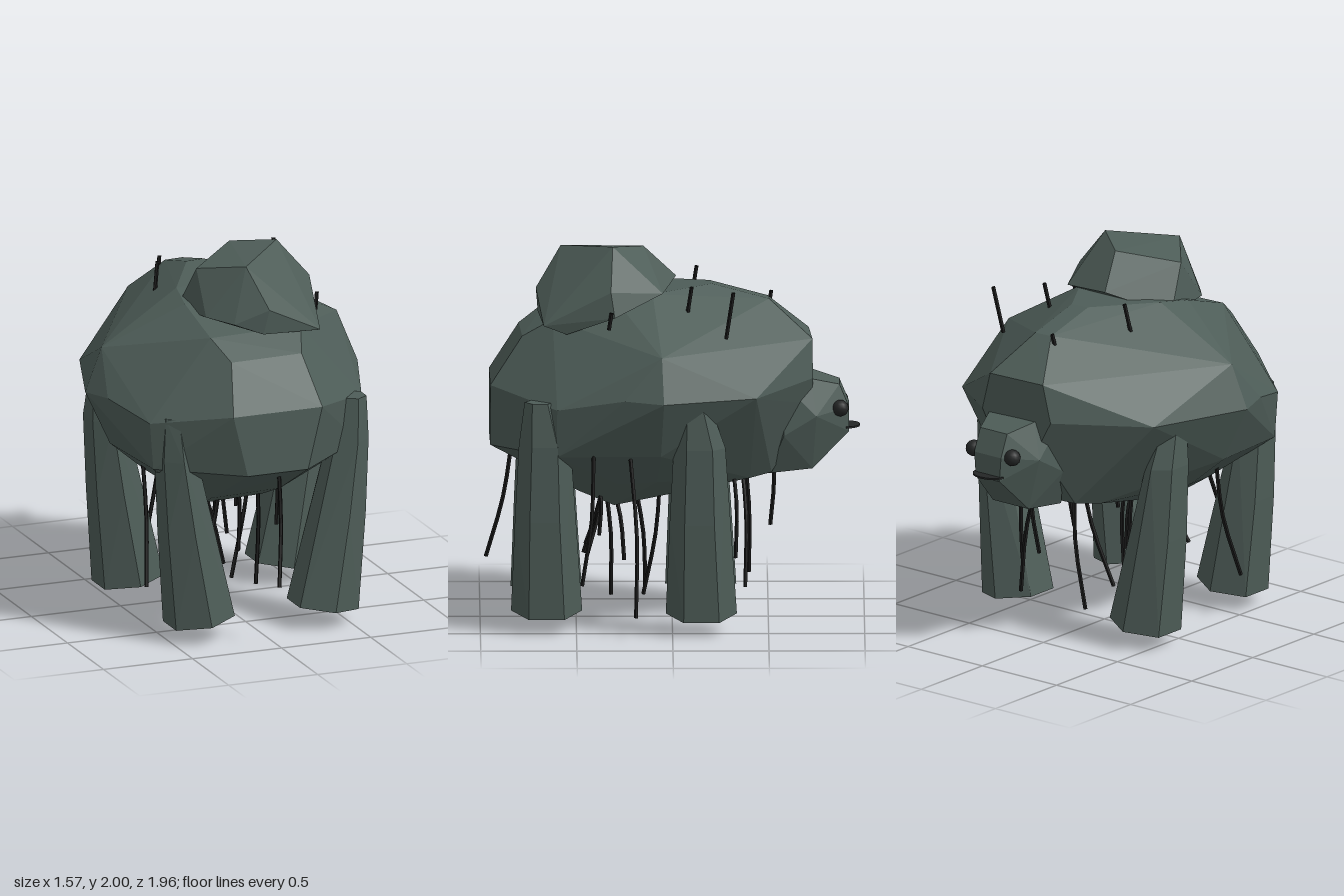
import * as THREE from 'three';
import { ConvexGeometry } from 'three/addons/geometries/ConvexGeometry.js';

const paint = (name, color, flatShading = true) => {
  const m = new THREE.MeshStandardMaterial({ color, flatShading });
  m.name = name;
  return m;
};

const vec = (p) => new THREE.Vector3(...p);

export function createModel() {
  const hide = paint('mossy grey hide', 0x4e5d58);
  const strandPaint = paint('dark strand', 0x1b1b1b);
  strandPaint.side = THREE.DoubleSide;
  const facePaint = paint('charcoal face', 0x242626, false);

  const model = new THREE.Group();
  model.name = 'shaggyBeast';

  const add = (name, geometry, material) => {
    const mesh = new THREE.Mesh(geometry, material);
    mesh.name = name;
    model.add(mesh);
    return mesh;
  };
  const boulder = (name, points) => add(name, new ConvexGeometry(points.map(vec)), hide);

  // Faceted torso: each section is z, then half-width and height pairs from back ridge to belly.
  // The two sides are staggered in z so the facets fall unevenly.
  const torso = [
    [-0.72, 0.17, 1.5, 0.22, 1.3, 0.14, 1.15],
    [-0.5, 0.05, 1.69, 0.37, 1.3, 0.2, 0.8],
    [-0.38, 0.6, 1.26, 0.26, 0.78],
    [-0.2, 0.05, 1.77],
    [0.13, 0.25, 1.75, 0.69, 1.49, 0.785, 1.26, 0.64, 0.96, 0.44, 0.79, 0.15, 0.68],
    [0.32, 0.28, 1.72, 0.73, 1.27, 0.4, 0.77, 0.17, 0.62],
    [0.5, 0.2, 0.7],
    [0.64, 0.26, 1.62, 0.61, 1.2, 0.59, 0.95],
    [0.79, 0.2, 1.52],
    [0.95, 0.25, 1.27, 0.17, 0.94],
  ];
  const bodyPoints = [];
  for (const [z, ...pairs] of torso) {
    for (let i = 0; i < pairs.length; i += 2) {
      for (const side of [-1, 1]) {
        bodyPoints.push([side * pairs[i], pairs[i + 1], z - side * 0.11 * pairs[i] * (1 - z * z)]);
      }
    }
  }
  boulder('body', bodyPoints);

  // Lumpy hump on the back
  boulder('hump', [
    [-0.02, 1.8, -0.02], [0.29, 1.76, 0.05], [0.46, 1.66, 0.3], [0.43, 1.79, 0.32],
    [0.38, 1.56, 0.55], [0.35, 1.6, 0.67], [0.02, 1.62, 0.7], [0.05, 1.75, 0.71],
    [-0.23, 1.69, 0.52], [-0.12, 1.67, 0.64], [-0.27, 1.67, 0.22], [-0.22, 1.91, 0.36],
    [-0.03, 1.96, 0.58], [0.25, 2, 0.31], [0.05, 1.97, 0.15],
  ]);

  // Blunt low-slung head: half-width, height, depth, mirrored about its own middle
  const headX = 0.03;
  const headProfile = [
    [0.21, 1.27, -0.58], [0.15, 1.29, -0.72], [0.09, 1.25, -0.87], [0.09, 1.13, -0.92],
    [0.08, 1, -0.92], [0.21, 1.1, -0.75], [0.12, 0.81, -0.73], [0.15, 0.79, -0.5], [0.23, 1, -0.58],
  ];
  boulder('head', headProfile.flatMap(([w, y, z]) => [[headX - w, y, z], [headX + w, y, z]]));

  // Eyes and flat mouth
  for (const side of [-1, 1]) {
    add('eye', new THREE.SphereGeometry(0.043, 14, 10), facePaint)
      .position.set(headX + side * 0.13, 1.13, -0.875);
  }
  const mouth = add('mouth', new THREE.CylinderGeometry(1, 1, 0.009, 16), facePaint);
  mouth.scale.set(0.095, 1, 0.07);
  mouth.position.set(headX, 1.02, -0.908);

  // Six-sided pillar legs leaning out towards the top: height, lean, half-width, half-depth, z shift
  const sections = [
    [0.1, 0, 0.19, 0.185, 0],
    [0.6, 0.085, 0.14, 0.155, 0.01],
    [1, 0.14, 0.1, 0.135, 0.01],
    [1.23, 0.155, 0.07, 0.08, 0.035],
  ];
  const leg = (name, x, z) => {
    const side = Math.sign(x);
    const points = [];
    for (const [y, lean, rx, rz, dz] of sections) {
      for (let i = 0; i < 6; i++) {
        const a = (i * Math.PI) / 3;
        const tilt = y < 0.2 ? -0.025 * Math.sin(a) : 0;
        points.push([x + side * (lean + rx * Math.sin(a)), y + tilt, z + dz + rz * Math.cos(a)]);
      }
    }
    boulder(name, points);
  };
  leg('leftFrontLeg', 0.37, 0.655);
  leg('rightFrontLeg', -0.325, 0.655);
  leg('leftBackLeg', 0.46, -0.15);
  leg('rightBackLeg', -0.4, -0.15);

  const strand = (name, a, b, sag, radius) => {
    const middle = vec(a).lerp(vec(b), 0.5).add(new THREE.Vector3(sag, 0, -sag));
    const curve = new THREE.CatmullRomCurve3([vec(a), middle, vec(b)]);
    add(name, new THREE.TubeGeometry(curve, 6, radius, 5), strandPaint);
  };

  // Strands under the belly: root x and z, then tip x, y and z; roots climb with the belly's curve
  const hanging = [
    [0.05, 0.83, 0, 0.32, 0.97], [0.6, 0.22, 0.65, 0.11, 0.19], [0.6, 0.41, 0.59, 0.27, 0.47],
    [0.22, 0.06, 0.06, 0.13, 0.15], [0.12, 0.36, 0.13, 0.14, 0.32], [-0.03, 0.2, -0.1, 0.14, 0.14],
    [-0.22, 0.34, -0.1, 0.31, 0.44], [0.02, 0.33, 0.06, 0.31, 0.25], [0.2, 0.4, 0.22, 0.47, 0.38],
    [0.12, -0.35, 0.25, 0.2, -0.38], [-0.1, -0.36, -0.2, 0.2, -0.4], [0.25, -0.3, 0.28, 0.36, -0.33],
    [0.05, -0.51, 0.02, 0.49, -0.51], [-0.5, 0.3, -0.54, 0.24, 0.46], [-0.08, 0.35, -0.2, 0.35, 0.45],
  ];
  for (const [x, z, ...tip] of hanging) {
    strand('hangingStrand', [x, 0.72 + 0.4 * Math.hypot(x, z - 0.2), z], tip, 0.02, 0.011);
  }
  strand('longThinStrand', [-0.21, 0.3, -0.06], [-0.21, 0, -0.06], 0, 0.005);

  // Short bristles on the back: root, then height
  const bristles = [
    [0.45, 1.55, -0.28, 0.25], [-0.27, 1.62, -0.1, 0.19], [-0.09, 1.6, -0.5, 0.11],
    [0.3, 1.66, -0.08, 0.14], [0.46, 1.6, 0.33, 0.09],
  ];
  for (const [x, y, z, h] of bristles) {
    strand('bristle', [x, y, z], [x + h * 0.15, y + h, z - h * 0.15], 0, 0.011);
  }

  return model;
}
